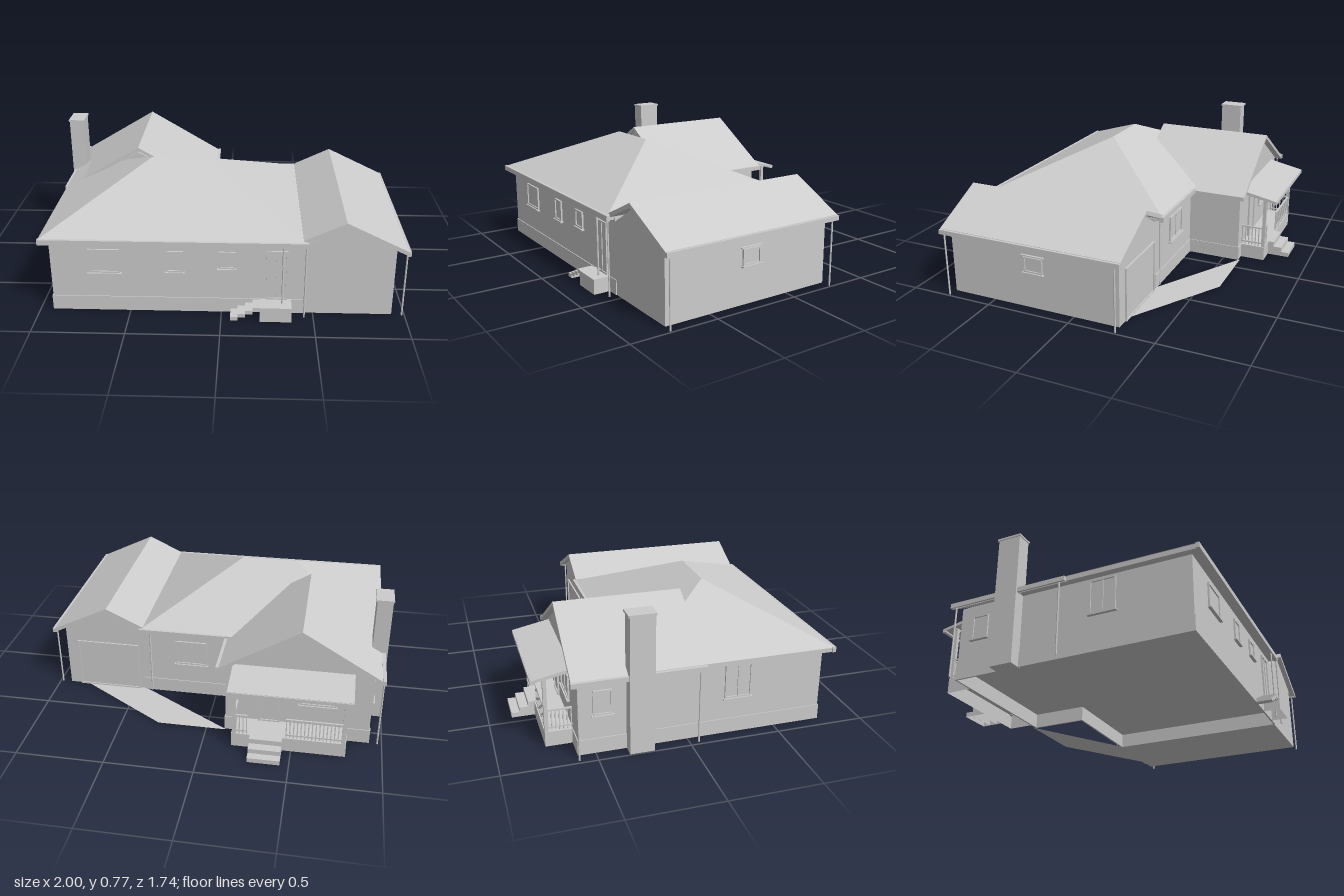
import * as THREE from 'three';

export function createModel() {
  const house = new THREE.Group();
  house.name = 'house';
  const grey = new THREE.MeshStandardMaterial({ color: 0xcccccc, flatShading: true, side: THREE.DoubleSide });
  grey.name = 'plain grey';

  const add = (name, geo, parent = house) => {
    const m = new THREE.Mesh(geo, grey);
    m.name = name;
    parent.add(m);
    return m;
  };
  // Box given by its two extreme corners
  const box = (name, x0, x1, y0, y1, z0, z1, parent = house) => add(name,
    new THREE.BoxGeometry(x1 - x0, y1 - y0, z1 - z0)
      .translate((x0 + x1) / 2, (y0 + y1) / 2, (z0 + z1) / 2), parent);
  // Hollow box without its bottom face
  const shell = (...args) => {
    const g = box(...args).geometry, idx = [...g.index.array];
    idx.splice(18, 6);
    g.setIndex(idx);
    g.clearGroups();
  };
  // Front outline pushed along z from z0 to z1
  const prism = (name, pts, z0, z1) => add(name,
    new THREE.ExtrudeGeometry(new THREE.Shape(pts.map(p => new THREE.Vector2(...p))),
      { depth: z1 - z0, bevelEnabled: false }).translate(0, 0, z0));
  const gableWalls = (name, x0, x1, base, eave, xa, ya, z0, z1) =>
    prism(name, [[x0, base], [x1, base], [x1, eave], [xa, ya], [x0, eave]], z0, z1);
  const gableRoof = (name, x0, y0, xa, ya, x1, y1, t, z0, z1) =>
    prism(name, [[x0, y0], [x0, y0 - t], [xa, ya - t], [x1, y1 - t], [x1, y1], [xa, ya]], z0, z1);

  // Walls: the house floor is raised, the garage stands on the ground
  box('mainWalls', -0.925, 0.45, 0.085, 0.43, -0.27, 0.765);
  gableWalls('rearWingWalls', -0.925, -0.11, 0.085, 0.43, -0.525, 0.67, -0.59, 0.08);
  gableWalls('garageWalls', 0.45, 0.93, 0, 0.41, 0.655, 0.535, -0.27, 0.765);

  // Plinth skirt around the open space under the raised floor
  box('plinthFront', -0.93, 0.45, 0, 0.085, 0.76, 0.77);
  box('plinthLeft', -0.93, -0.92, 0, 0.085, -0.595, 0.77);
  box('plinthBack', -0.11, 0.45, 0, 0.085, -0.275, -0.265);
  box('plinthWingSide', -0.115, -0.105, 0, 0.085, -0.595, -0.265);
  box('plinthWingBack', -0.93, -0.105, 0, 0.085, -0.595, -0.585);

  // Main hip roof
  const a = [-0.97, 0.447, 0.81], b = [0.45, 0.447, 0.81], c = [0.45, 0.447, -0.31], d = [-0.97, 0.447, -0.31];
  const l = [-0.42, 0.705, 0.25], r = [-0.09, 0.705, 0.25];
  const hip = new THREE.BufferGeometry();
  hip.setAttribute('position', new THREE.Float32BufferAttribute(
    [a, b, r, a, r, l, b, c, r, c, d, l, c, l, r, d, a, l].flat(), 3));
  hip.computeVertexNormals();
  add('hipRoof', hip);
  box('hipRoofEaves', -0.965, 0.445, 0.42, 0.447, -0.305, 0.805);
  box('frontGutter', -0.972, 0.46, 0.42, 0.45, 0.8, 0.82);
  box('backGutter', -0.06, 0.46, 0.42, 0.45, -0.32, -0.3);
  box('leftGutter', -0.985, -0.965, 0.415, 0.442, -0.63, 0.085);

  // Gabled roofs of the wing and the garage
  gableRoof('rearWingRoof', -0.975, 0.432, -0.525, 0.7, -0.068, 0.428, 0.022, -0.625, 0.085);
  box('rearWingGutter', -0.075, -0.058, 0.41, 0.435, -0.625, -0.31);
  gableRoof('garageRoof', 0.435, 0.457, 0.655, 0.562, 0.985, 0.402, 0.025, -0.305, 0.795);
  box('garageGutter', 0.978, 1, 0.374, 0.4, -0.305, 0.795);

  // Chimney
  box('chimney', -0.995, -0.908, 0, 0.765, -0.333, -0.2);
  box('chimneyCap', -1, -0.903, 0.763, 0.775, -0.341, -0.195);

  // Downpipes under the gutters: x, z, height
  [[0.985, -0.27, 0.38], [0.985, 0.77, 0.38], [0.45, 0.81, 0.42], [0.33, 0.81, 0.42],
    [-0.975, -0.595, 0.42], [-0.975, 0.05, 0.42], [0.4, -0.278, 0.42]].forEach(([x, z, h]) =>
    add('downpipe', new THREE.CylinderGeometry(0.005, 0.005, h, 8).translate(x, h / 2, z)));

  // Opening centred on a wall point, turned to face outwards
  const opening = (name, x, z, turn, w, y0, y1, bars, sill = true) => {
    const g = new THREE.Group();
    g.name = name;
    g.position.set(x, 0, z);
    g.rotation.y = turn;
    house.add(g);
    const f = 0.009, h = w / 2;
    box('pane', -h, h, y0, y1, -0.003, 0.003, g);
    box('frameSide', -h, -h + f, y0, y1, 0, 0.01, g);
    box('frameSide', h - f, h, y0, y1, 0, 0.01, g);
    box('frameTop', -h, h, y1 - f, y1, 0, 0.01, g);
    box('frameBottom', -h, h, y0, y0 + f, 0, 0.01, g);
    for (let i = 1; i <= bars; i++) {
      const u = -h + w * i / (bars + 1);
      box('frameBar', u - 0.004, u + 0.004, y0, y1, 0, 0.008, g);
    }
    if (sill) box('sill', -h - 0.008, h + 0.008, y0 - 0.008, y0, 0, 0.018, g);
  };
  const left = -Math.PI / 2, right = Math.PI / 2, back = Math.PI;
  opening('frontWideWindow', -0.632, 0.765, 0, 0.17, 0.235, 0.375, 0);
  opening('frontTallWindow', -0.25, 0.765, 0, 0.09, 0.245, 0.37, 0);
  opening('frontSmallWindow', 0.03, 0.765, 0, 0.09, 0.27, 0.37, 0);
  opening('frontDoor', 0.3, 0.765, 0, 0.115, 0.085, 0.38, 1, false);
  opening('leftWindow', -0.925, 0.28, left, 0.15, 0.21, 0.405, 1);
  opening('leftRearWindow', -0.925, -0.46, left, 0.1, 0.22, 0.36, 0);
  opening('garageWindow', 0.93, 0.24, right, 0.115, 0.215, 0.305, 0);
  box('garageWindowHead', 0.925, 0.942, 0.31, 0.317, 0.17, 0.31);
  opening('backWindow', 0.15, -0.27, back, 0.19, 0.21, 0.365, 1);
  opening('garageDoor', 0.67, -0.27, back, 0.38, 0, 0.31, 0, false);
  opening('porchDoor', -0.36, -0.59, back, 0.12, 0.085, 0.36, 0, false);
  opening('porchWindow', -0.63, -0.59, back, 0.2, 0.22, 0.36, 1);

  // Front landing with side steps
  shell('frontLanding', 0.21, 0.38, 0, 0.085, 0.765, 0.865);
  for (let i = 0; i < 4; i++)
    box('frontStep', 0.05 + i * 0.04, 0.09 + i * 0.04, i * 0.02, 0.022 + i * 0.02, 0.765, 0.858);

  // Rear porch: deck, steps, posts and lean-to roof
  shell('porchDeck', -0.8, -0.165, 0, 0.085, -0.74, -0.59);
  [[0.085, 0.74, 0.775], [0.055, 0.775, 0.825], [0.027, 0.825, 0.87]].forEach(([h, z0, z1]) =>
    shell('porchStep', -0.45, -0.27, 0, h, -z1, -z0));
  [-0.785, -0.18].forEach(x => box('porchPost', x - 0.01, x + 0.01, 0.08, 0.41, -0.74, -0.72));
  box('porchBeam', -0.8, -0.165, 0.39, 0.41, -0.74, -0.72);
  const lean = [[0.59, 0.445], [0.8, 0.402], [0.8, 0.387], [0.59, 0.425]];
  add('porchRoof', new THREE.ExtrudeGeometry(
    new THREE.Shape(lean.map(p => new THREE.Vector2(...p))), { depth: 0.67, bevelEnabled: false })
    .rotateY(Math.PI / 2).translate(-0.82, 0, 0));
  box('porchGutter', -0.82, -0.15, 0.38, 0.4, -0.805, -0.785);

  // Porch railings from (x0, z0) to (x1, z1)
  const railing = (x0, z0, x1, z1) => {
    const n = Math.max(2, Math.round(Math.hypot(x1 - x0, z1 - z0) / 0.02)), s = 0.005;
    [0.1, 0.2].forEach(y => box('rail', Math.min(x0, x1) - s, Math.max(x0, x1) + s, y, y + 0.009,
      Math.min(z0, z1) - s, Math.max(z0, z1) + s));
    for (let i = 0; i <= n; i++) {
      const x = x0 + (x1 - x0) * i / n, z = z0 + (z1 - z0) * i / n;
      box('baluster', x - 0.003, x + 0.003, 0.085, 0.2, z - 0.003, z + 0.003);
    }
  };
  railing(-0.775, -0.73, -0.47, -0.73);
  railing(-0.25, -0.73, -0.19, -0.73);
  railing(-0.18, -0.595, -0.18, -0.72);
  railing(-0.785, -0.595, -0.785, -0.72);

  // Slanted driveway to the garage door
  add('driveway', new THREE.ShapeGeometry(new THREE.Shape(
    [[-0.11, 0.605], [-0.11, 0.6], [0.44, 0.27], [0.82, 0.27], [0.285, 0.605]]
      .map(p => new THREE.Vector2(...p)))).rotateX(-Math.PI / 2).translate(0, 0.001, 0));

  return house;
}
